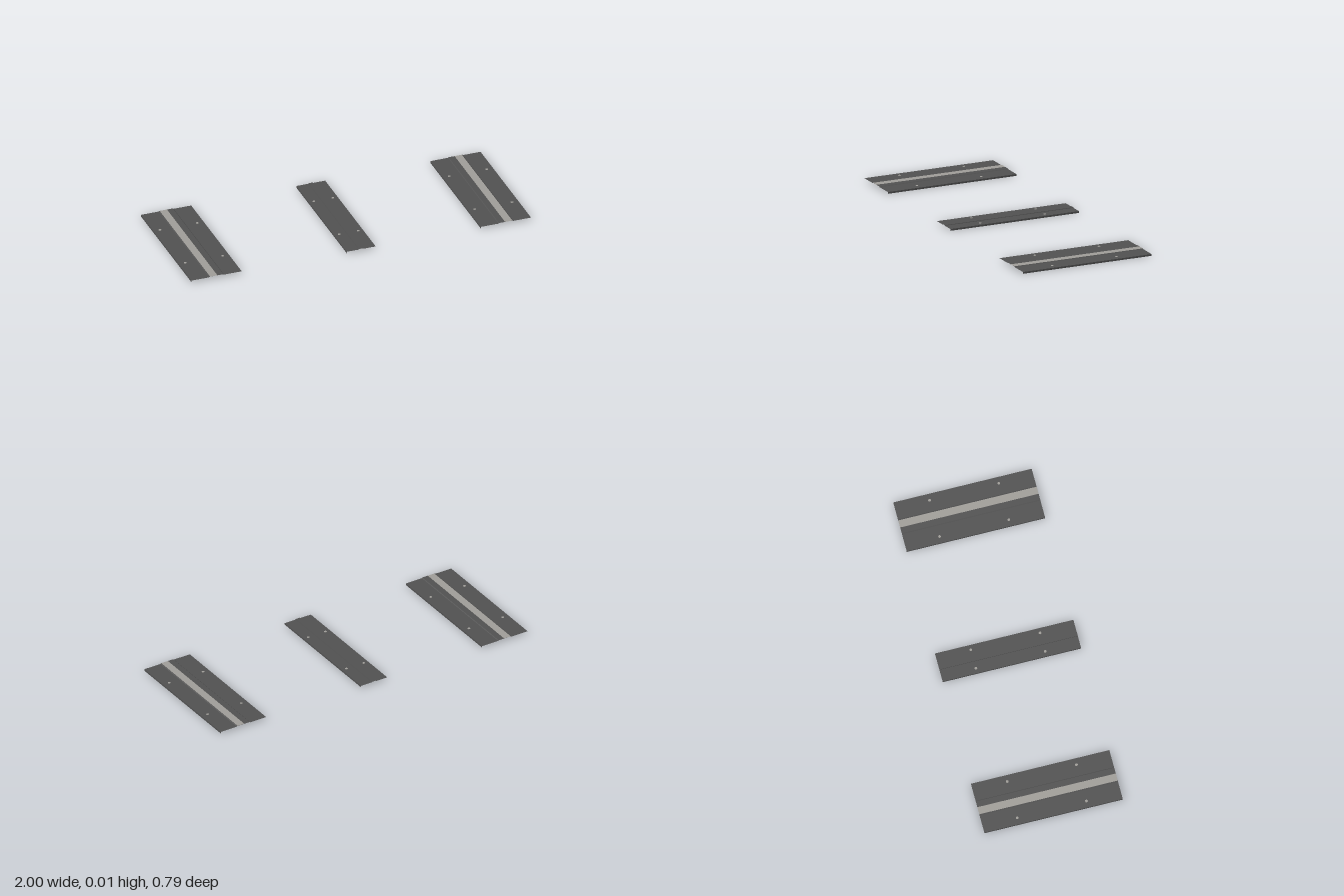
import * as THREE from 'three';

const HALF = 0.394; // half the strip length
const PLATE = 0.01; // plate thickness
const RIDGE = 0.013; // height over the ridge

// Sweeps a profile of [x, y] points along z, leaving the ends open
function sweep(points, closed = true) {
  const pos = [];
  const count = closed ? points.length : points.length - 1;
  for (let i = 0; i < count; i++) {
    const [ax, ay] = points[i];
    const [bx, by] = points[(i + 1) % points.length];
    pos.push(ax, ay, HALF, ax, ay, -HALF, bx, by, -HALF);
    pos.push(ax, ay, HALF, bx, by, -HALF, bx, by, HALF);
  }
  const g = new THREE.BufferGeometry();
  g.setAttribute('position', new THREE.Float32BufferAttribute(pos, 3));
  g.computeVertexNormals();
  return g;
}

// Flat plate with a raised ridge along the middle, listed counter-clockwise
function plateProfile(halfWidth, ridgeHalf, slope) {
  return [
    [-halfWidth, 0], [halfWidth, 0], [halfWidth, PLATE],
    [ridgeHalf, PLATE], [ridgeHalf - slope, RIDGE],
    [-ridgeHalf + slope, RIDGE], [-ridgeHalf, PLATE], [-halfWidth, PLATE],
  ];
}

export function createModel() {
  const model = new THREE.Group();
  model.name = 'floorStrips';
  const darkMetal = new THREE.MeshStandardMaterial({ color: 0x505050 });
  darkMetal.name = 'darkMetal';
  const lightGrey = new THREE.MeshStandardMaterial({ color: 0x9e9c97 });
  lightGrey.name = 'lightGrey';

  const add = (parent, name, geometry, material) => {
    const mesh = new THREE.Mesh(geometry, material);
    mesh.name = name;
    parent.add(mesh);
    return mesh;
  };

  const widePlate = sweep(plateProfile(0.148, 0.044, 0.004));
  const narrowPlate = sweep(plateProfile(0.085, 0.014, 0.001));
  // Light insert over the outer half of the wide ridge
  const insert = sweep([[0.005, RIDGE + 0.0004], [-0.038, RIDGE + 0.0004]], false);
  const screw = new THREE.CylinderGeometry(0.008, 0.008, 0.002, 8);

  // Four screws at the corners of a rectangle
  const addScrews = (parent, spread) => {
    for (const sx of [-1, 1]) for (const sz of [-1, 1]) {
      add(parent, 'screw', screw, lightGrey)
        .position.set(sx * spread, PLATE + 0.001, sz * 0.197);
    }
  };

  // Two wide strips, turned so that the inserts lie outward
  for (const side of [-1, 1]) {
    const strip = new THREE.Group();
    strip.name = side > 0 ? 'leftStrip' : 'rightStrip';
    add(strip, 'widePlate', widePlate, darkMetal);
    add(strip, 'insert', insert, lightGrey);
    addScrews(strip, 0.11);
    strip.position.x = side * 0.852;
    if (side > 0) strip.rotation.y = Math.PI;
    model.add(strip);
  }

  // Narrow strip between them
  const middle = new THREE.Group();
  middle.name = 'middleStrip';
  add(middle, 'narrowPlate', narrowPlate, darkMetal);
  addScrews(middle, 0.056);
  model.add(middle);

  return model;
}
